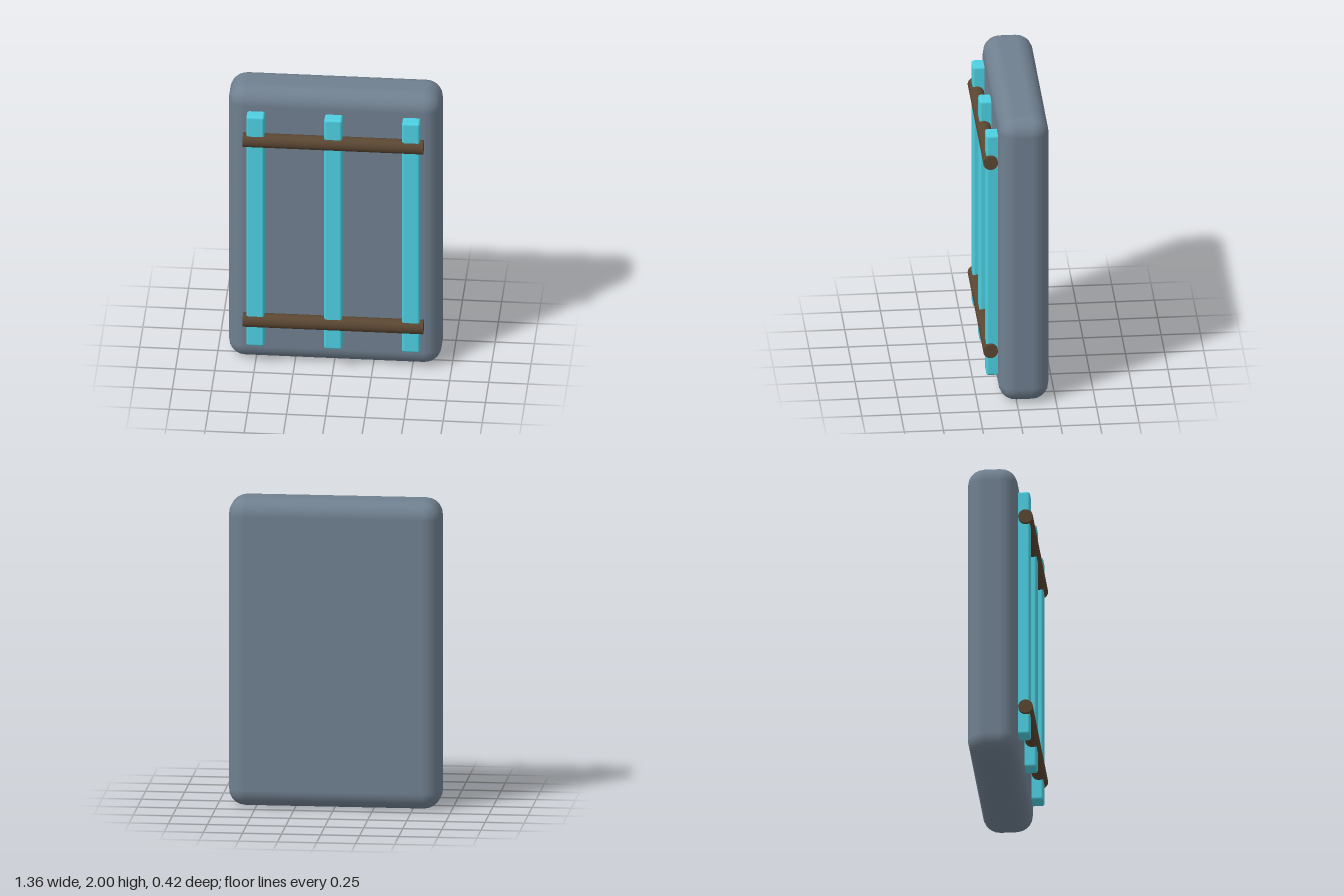
import * as THREE from 'three';
import { RoundedBoxGeometry } from 'three/addons/geometries/RoundedBoxGeometry.js';

const material = (color) => new THREE.MeshStandardMaterial({ color });

export function createModel() {
  const model = new THREE.Group();
  model.name = 'paddedPanel';
  const slate = material(0x708090);
  const cyan = material(0x4dd0e1);
  const brown = material(0x5a4632);

  const add = (name, geometry, mat, x, y, z) => {
    const mesh = new THREE.Mesh(geometry, mat);
    mesh.name = name;
    mesh.position.set(x, y, z);
    model.add(mesh);
  };

  // Thick slab with rounded edges
  add('slab', new RoundedBoxGeometry(1.36, 2, 0.32, 3, 0.11), slate, 0, 1, -0.048);

  // Three upright slats set into the front face
  const slat = new RoundedBoxGeometry(0.115, 1.7, 0.12, 2, 0.015);
  for (const [name, x] of [['rightSlat', -0.497], ['middleSlat', 0], ['leftSlat', 0.497]]) {
    add(name, slat, cyan, x, 1.005, 0.127);
  }

  // Two round rails crossing the slats
  const rail = new THREE.CylinderGeometry(0.047, 0.047, 1.152, 20).rotateZ(Math.PI / 2);
  add('lowerRail', rail, brown, 0, 0.337, 0.161);
  add('upperRail', rail, brown, 0, 1.672, 0.161);

  return model;
}
